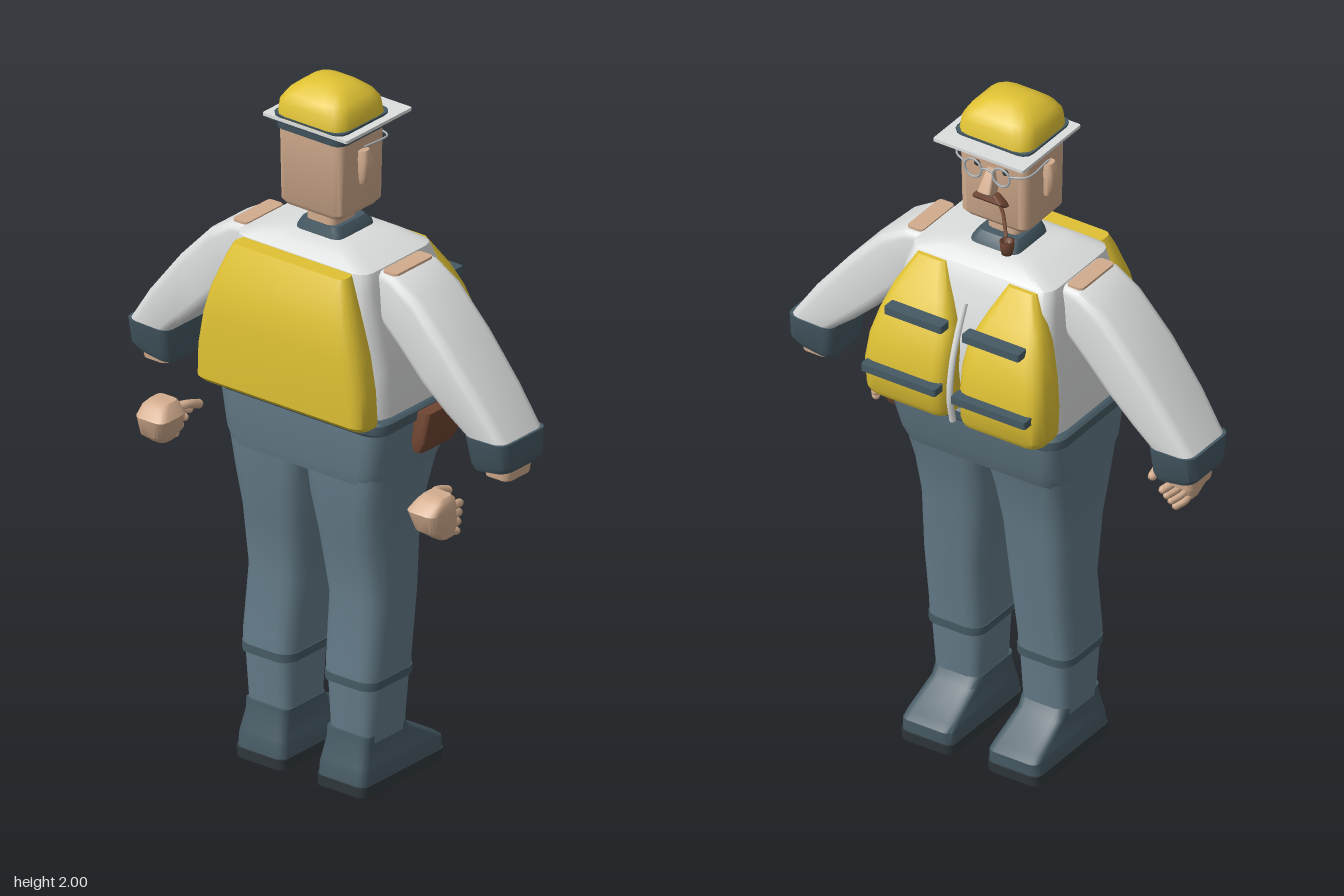
import * as THREE from 'three';
import { toCreasedNormals } from 'three/addons/utils/BufferGeometryUtils.js';

const mat = (name, color) => {
  const m = new THREE.MeshStandardMaterial({ color });
  m.name = name;
  return m;
};

// Skin through rounded-rectangle sections [ax, ay, bx, by, z0, z1, radius]:
// a and b are opposite ends in the xy plane, z0..z1 is the depth.
function loft(sections, crease = 0.7) {
  const seg = 3, pos = [], idx = [], n = 4 * (seg + 1);
  const centres = [];
  for (const [ax, ay, bx, by, z0, z1, r0] of sections) {
    const w = Math.hypot(bx - ax, by - ay), d = z1 - z0;
    const r = Math.min(r0, w * 0.48, d * 0.48);
    for (let c = 0; c < 4; c++) for (let k = 0; k <= seg; k++) {
      const t = (c + k / seg) * Math.PI / 2;
      const sx = c === 0 || c === 3 ? 1 : -1, sz = c < 2 ? 1 : -1;
      const u = 0.5 + (sx * (w / 2 - r) + r * Math.cos(t)) / w;
      pos.push(ax + (bx - ax) * u, ay + (by - ay) * u, (z0 + z1) / 2 + sz * (d / 2 - r) + r * Math.sin(t));
    }
    centres.push([(ax + bx) / 2, (ay + by) / 2, (z0 + z1) / 2]);
  }
  const last = sections.length - 1;
  for (let i = 0; i < last; i++) for (let j = 0; j < n; j++) {
    const a = i * n + j, b = i * n + (j + 1) % n;
    idx.push(a, a + n, b, b, a + n, b + n);
  }
  const c0 = pos.length / 3;
  pos.push(...centres[0], ...centres[last]);
  for (let j = 0; j < n; j++) {
    const k = (j + 1) % n;
    idx.push(c0, j, k, c0 + 1, last * n + k, last * n + j);
  }
  // turn faces outward whatever the section direction
  let vol = 0;
  const p = i => new THREE.Vector3().fromArray(pos, i * 3);
  for (let i = 0; i < idx.length; i += 3) vol += p(idx[i]).dot(p(idx[i + 1]).cross(p(idx[i + 2])));
  if (vol < 0) idx.reverse();
  const g = new THREE.BufferGeometry();
  g.setAttribute('position', new THREE.Float32BufferAttribute(pos, 3));
  g.setIndex(idx);
  return toCreasedNormals(g, crease);
}

// Level sections [y, x0, x1, z0, z1, radius]
const level = rows => rows.map(([y, x0, x1, z0, z1, r]) => [x0, y, x1, y, z0, z1, r]);
// Level sections centred on x = 0: [y, halfWidth, z0, z1, radius]
const centred = rows => level(rows.map(([y, h, ...rest]) => [y, -h, h, ...rest]));
const flip = (rows, s) => rows.map(([ax, ay, bx, by, ...rest]) => [s * ax, ay, s * bx, by, ...rest]);

export function createModel() {
  const root = new THREE.Group();
  root.name = 'worker';
  const yellow = mat('yellow', 0xe0c234), white = mat('white', 0xdcdddd), skin = mat('skin', 0xd2ac8e);
  const denim = mat('denim', 0x647b88), slate = mat('slate', 0x465a64), brown = mat('brown', 0x6f4532);
  const black = mat('sole black', 0x30383c), metal = mat('metal', 0xaab0b4);

  const add = (name, geometry, material, parent = root) => {
    const m = new THREE.Mesh(geometry, material);
    m.name = name;
    parent.add(m);
    return m;
  };
  const tube = (points, r) => new THREE.TubeGeometry(
    new THREE.CatmullRomCurve3(points.map(q => new THREE.Vector3(...q))), 14, r, 8);

  // Torso
  add('shirt', loft(centred([
    [1.10, 0.272, -0.16, 0.19, 0.06], [1.25, 0.27, -0.18, 0.19, 0.06], [1.38, 0.25, -0.165, 0.193, 0.05],
    [1.48, 0.235, -0.135, 0.193, 0.04], [1.53, 0.225, -0.115, 0.185, 0.04], [1.55, 0.17, -0.09, 0.16, 0.04],
    [1.565, 0.12, -0.065, 0.13, 0.04]])), white);
  add('belt', loft(centred([[1.075, 0.282, -0.168, 0.2, 0.05], [1.082, 0.29, -0.175, 0.205, 0.05],
    [1.108, 0.29, -0.175, 0.205, 0.05], [1.115, 0.282, -0.168, 0.2, 0.05]])), slate);
  add('vestBack', loft(centred([
    [1.115, 0.28, 0.18, 0.262, 0.03], [1.13, 0.286, 0.18, 0.278, 0.035], [1.22, 0.283, 0.18, 0.282, 0.04],
    [1.32, 0.265, 0.18, 0.282, 0.04], [1.4, 0.242, 0.18, 0.278, 0.04], [1.49, 0.208, 0.18, 0.252, 0.03],
    [1.528, 0.19, 0.18, 0.235, 0.02]])), yellow);
  add('collar', loft(centred([[1.55, 0.08, -0.055, 0.115, 0.025], [1.575, 0.075, -0.05, 0.11, 0.025],
    [1.595, 0.062, -0.03, 0.105, 0.02]])), slate);
  add('neck', loft(centred([[1.55, 0.05, -0.005, 0.098, 0.02], [1.66, 0.05, -0.005, 0.098, 0.02]])), skin);
  add('zip', tube([[0, 1.12, -0.235], [0, 1.2, -0.25], [0, 1.3, -0.238], [0, 1.38, -0.212], [0, 1.46, -0.178]], 0.009), white);

  // Hips
  add('trouserHips', loft(centred([
    [0.915, 0.255, -0.112, 0.187, 0.06], [0.96, 0.268, -0.13, 0.195, 0.06],
    [1.08, 0.278, -0.16, 0.2, 0.05]])), denim);
  add('pouch', loft(level([[0.99, 0.275, 0.31, -0.09, 0.05, 0.012], [1.02, 0.275, 0.322, -0.1, 0.055, 0.012],
    [1.105, 0.275, 0.328, -0.115, 0.04, 0.012]])), brown);

  for (const s of [1, -1]) {
    const side = new THREE.Group();
    side.name = s > 0 ? 'leftSide' : 'rightSide';
    root.add(side);
    const part = (name, rows, material) => add(name, loft(flip(rows, s)), material, side);

    // Vest front panel and its straps
    part('vestPanel', level([
      [1.12, 0.022, 0.272, -0.24, -0.12, 0.035], [1.14, 0.018, 0.282, -0.252, -0.125, 0.04],
      [1.22, 0.018, 0.285, -0.257, -0.125, 0.04], [1.3, 0.018, 0.277, -0.245, -0.12, 0.04],
      [1.37, 0.025, 0.26, -0.222, -0.11, 0.04], [1.44, 0.057, 0.235, -0.185, -0.1, 0.03],
      [1.525, 0.1, 0.19, -0.13, -0.09, 0.015]]), yellow);
    for (const [y, z, x0, x1] of [[1.22, -0.268, 0.025, 0.262], [1.395, -0.228, 0.032, 0.215]])
      part('strap', level([[y - 0.011, x0, x1, z - 0.016, z + 0.025, 0.006],
        [y + 0.011, x0, x1, z - 0.016, z + 0.025, 0.006]]), slate);

    // Sleeve, cuff and wrist
    part('sleeve', [
      [0.215, 1.527, 0.2, 1.42, -0.05, 0.125, 0.02], [0.28, 1.524, 0.235, 1.385, -0.062, 0.137, 0.025],
      [0.355, 1.48, 0.295, 1.325, -0.066, 0.138, 0.03], [0.46, 1.37, 0.375, 1.24, -0.068, 0.138, 0.03],
      [0.565, 1.24, 0.445, 1.175, -0.068, 0.13, 0.03], [0.64, 1.13, 0.507, 1.125, -0.066, 0.118, 0.03]], white);
    part('cuff', [[0.647, 1.132, 0.503, 1.128, -0.07, 0.122, 0.03], [0.65, 1.06, 0.508, 1.045, -0.06, 0.105, 0.03],
      [0.635, 1.04, 0.515, 1.022, -0.05, 0.095, 0.03]], slate);
    part('wrist', level([[1.008, 0.54, 0.625, -0.03, 0.075, 0.02], [1.05, 0.535, 0.63, -0.035, 0.08, 0.02]]), skin);
    part('shoulderPatch', level([[1.5, 0.228, 0.284, -0.04, 0.118, 0.012], [1.53, 0.23, 0.28, -0.04, 0.118, 0.012]]), skin);

    // Hand with fingers reaching forward
    const hand = new THREE.Group();
    hand.name = 'hand';
    side.add(hand);
    add('palm', loft(flip(level([
      [0.845, 0.452, 0.502, 0.14, 0.195, 0.015], [0.875, 0.43, 0.508, 0.13, 0.235, 0.02],
      [0.93, 0.412, 0.513, 0.135, 0.25, 0.025], [0.955, 0.425, 0.51, 0.14, 0.225, 0.02],
      [0.967, 0.435, 0.5, 0.15, 0.205, 0.015]]), s), 0.7), skin, hand);
    for (let i = 0; i < 4; i++) {
      const y = 0.918 - i * 0.021, x = s * (0.475 + i * 0.006);
      add('finger', tube([[x, y, 0.15], [x, y - 0.006, 0.115 + i * 0.005], [x - s * 0.014, y - 0.016, 0.075 + i * 0.012]], 0.0115), skin, hand);
      add('fingertip', new THREE.SphereGeometry(0.0115, 8, 6), skin, hand)
        .position.set(x - s * 0.014, y - 0.016, 0.075 + i * 0.012);
    }
    add('thumb', tube([[s * 0.44, 0.945, 0.16], [s * 0.425, 0.945, 0.125], [s * 0.425, 0.93, 0.08]], 0.013), skin, hand);
    add('thumbTip', new THREE.SphereGeometry(0.013, 8, 6), skin, hand).position.set(s * 0.425, 0.93, 0.08);

    // Trouser leg, hem and boot
    part('leg', level([
      [0.3, 0.056, 0.228, -0.035, 0.163, 0.04], [0.36, 0.053, 0.23, -0.038, 0.163, 0.045],
      [0.54, 0.043, 0.232, -0.062, 0.14, 0.05], [0.72, 0.022, 0.238, -0.072, 0.165, 0.06],
      [0.83, 0.008, 0.248, -0.088, 0.182, 0.06], [0.93, 0.001, 0.257, -0.112, 0.187, 0.05]]), denim);
    part('legBand', level([[0.303, 0.053, 0.2295, -0.038, 0.1645, 0.04], [0.327, 0.052, 0.2305, -0.039, 0.1645, 0.042]]), slate);
    part('shin', level([[0.14, 0.067, 0.212, -0.02, 0.148, 0.03], [0.31, 0.058, 0.224, -0.032, 0.158, 0.04]]), denim);
    part('boot', level([
      [0.028, 0.056, 0.22, -0.162, 0.183, 0.025], [0.065, 0.057, 0.219, -0.163, 0.18, 0.025],
      [0.082, 0.06, 0.217, -0.14, 0.176, 0.025], [0.135, 0.066, 0.21, -0.04, 0.162, 0.025],
      [0.163, 0.064, 0.212, -0.02, 0.158, 0.025]]), slate);
    part('sole', level([[0, 0.054, 0.222, -0.163, 0.185, 0.025], [0.03, 0.054, 0.222, -0.167, 0.187, 0.025]]), black);

    // Ear and spectacle lens rim
    part('ear', level([[1.725, 0.1, 0.123, 0.035, 0.06, 0.01], [1.745, 0.1, 0.131, 0.033, 0.066, 0.012],
      [1.8, 0.1, 0.136, 0.03, 0.07, 0.012], [1.825, 0.1, 0.128, 0.035, 0.068, 0.012]]), skin);
    add('eye', new THREE.SphereGeometry(0.009, 10, 8), black, side).position.set(s * 0.045, 1.82, -0.052);
    add('lensRim', new THREE.TorusGeometry(0.027, 0.0035, 6, 20), metal, side).position.set(s * 0.045, 1.815, -0.073);
    add('spectacleArm', tube([[s * 0.072, 1.825, -0.073], [s * 0.113, 1.828, -0.05], [s * 0.114, 1.83, 0.05]], 0.003), metal, side);
  }

  // Head and face
  add('head', loft(centred([
    [1.637, 0.095, -0.035, 0.13, 0.02], [1.652, 0.107, -0.048, 0.14, 0.025],
    [1.88, 0.11, -0.052, 0.143, 0.025]])), skin);
  add('nose', loft(centred([[1.745, 0.016, -0.08, -0.04, 0.008], [1.76, 0.02, -0.094, -0.04, 0.008],
    [1.82, 0.011, -0.06, -0.04, 0.006]])), skin);
  add('bridge', tube([[-0.02, 1.82, -0.073], [0, 1.826, -0.075], [0.02, 1.82, -0.073]], 0.003), metal);
  add('moustache', loft(centred([[1.717, 0.055, -0.066, -0.045, 0.008], [1.728, 0.05, -0.076, -0.045, 0.01],
    [1.748, 0.025, -0.072, -0.045, 0.008]])), brown);

  // Pipe
  add('pipeStem', tube([[-0.025, 1.712, -0.05], [-0.06, 1.71, -0.085], [-0.09, 1.69, -0.12], [-0.115, 1.657, -0.148]], 0.005), brown);
  const bowl = [[0, 0], [0.015, 0], [0.019, 0.018], [0.021, 0.04], [0.014, 0.04], [0.012, 0.024], [0, 0.024]];
  add('pipeBowl', new THREE.LatheGeometry(bowl.map(q => new THREE.Vector2(...q)), 10), brown)
    .position.set(-0.116, 1.643, -0.15);

  // Hard hat
  add('hatBand', loft(centred([[1.86, 0.115, -0.058, 0.149, 0.03], [1.902, 0.121, -0.064, 0.156, 0.03]])), slate);
  add('brimUnderside', loft(centred([[1.879, 0.135, -0.105, 0.152, 0.01], [1.886, 0.138, -0.11, 0.155, 0.01]])), slate);
  add('brim', loft(centred([[1.886, 0.144, -0.117, 0.158, 0.005], [1.895, 0.144, -0.117, 0.158, 0.005]])), white);
  add('hatDome', loft(centred([
    [1.895, 0.118, -0.062, 0.155, 0.045], [1.94, 0.113, -0.055, 0.152, 0.045], [1.965, 0.098, -0.04, 0.138, 0.045],
    [1.988, 0.07, -0.012, 0.11, 0.04], [2.0, 0.04, 0.015, 0.08, 0.03]]), 0.9), yellow);

  return root;
}
